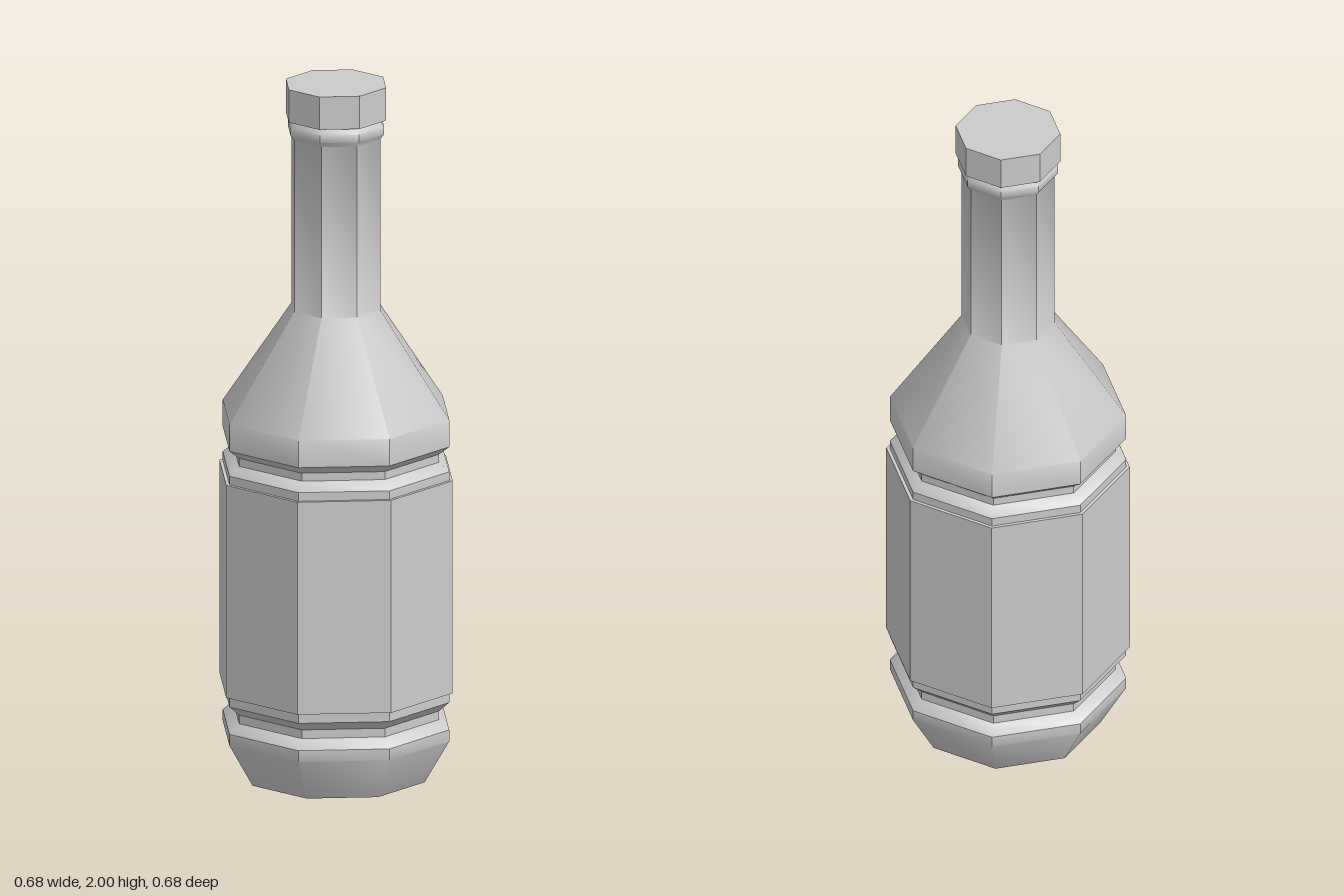
import * as THREE from 'three';
import { toCreasedNormals } from 'three/addons/utils/BufferGeometryUtils.js';

const SIDES = 8;
const CREASE = THREE.MathUtils.degToRad(41); // keeps 45 degree corners sharp, blends the tapers

// Turns a [radius, height] profile, listed from bottom to top, into an eight-sided part
function turned(name, profile) {
  const points = profile.map(([r, y]) => new THREE.Vector2(r, y));
  const geometry = toCreasedNormals(new THREE.LatheGeometry(points, SIDES), CREASE);
  const mesh = new THREE.Mesh(geometry, new THREE.MeshStandardMaterial({ color: 0xcccccc }));
  mesh.name = name;
  return mesh;
}

export function createModel() {
  const bottle = new THREE.Group();
  bottle.name = 'bottle';

  // Glass: recessed foot, two grooves, shoulder, neck and lip
  bottle.add(turned('glass', [
    [0, 0.02], [0.13, 0.02], [0.17, 0], [0.26, 0],
    [0.332, 0.125], [0.332, 0.158], [0.302, 0.185],
    [0.302, 0.21], [0.332, 0.237], [0.332, 0.905],
    [0.302, 0.93], [0.302, 0.953], [0.332, 0.977],
    [0.332, 1.055], [0.13, 1.355], [0.13, 1.85],
    [0.141, 1.865], [0.141, 1.887], [0.13, 1.903], [0, 1.903],
  ]));

  // Label sleeve standing slightly proud of the body
  bottle.add(turned('label', [
    [0.332, 0.265], [0.342, 0.265], [0.342, 0.88], [0.332, 0.88],
  ]));

  // Cap
  bottle.add(turned('cap', [
    [0, 1.905], [0.147, 1.905], [0.147, 2], [0, 2],
  ]));

  return bottle;
}
